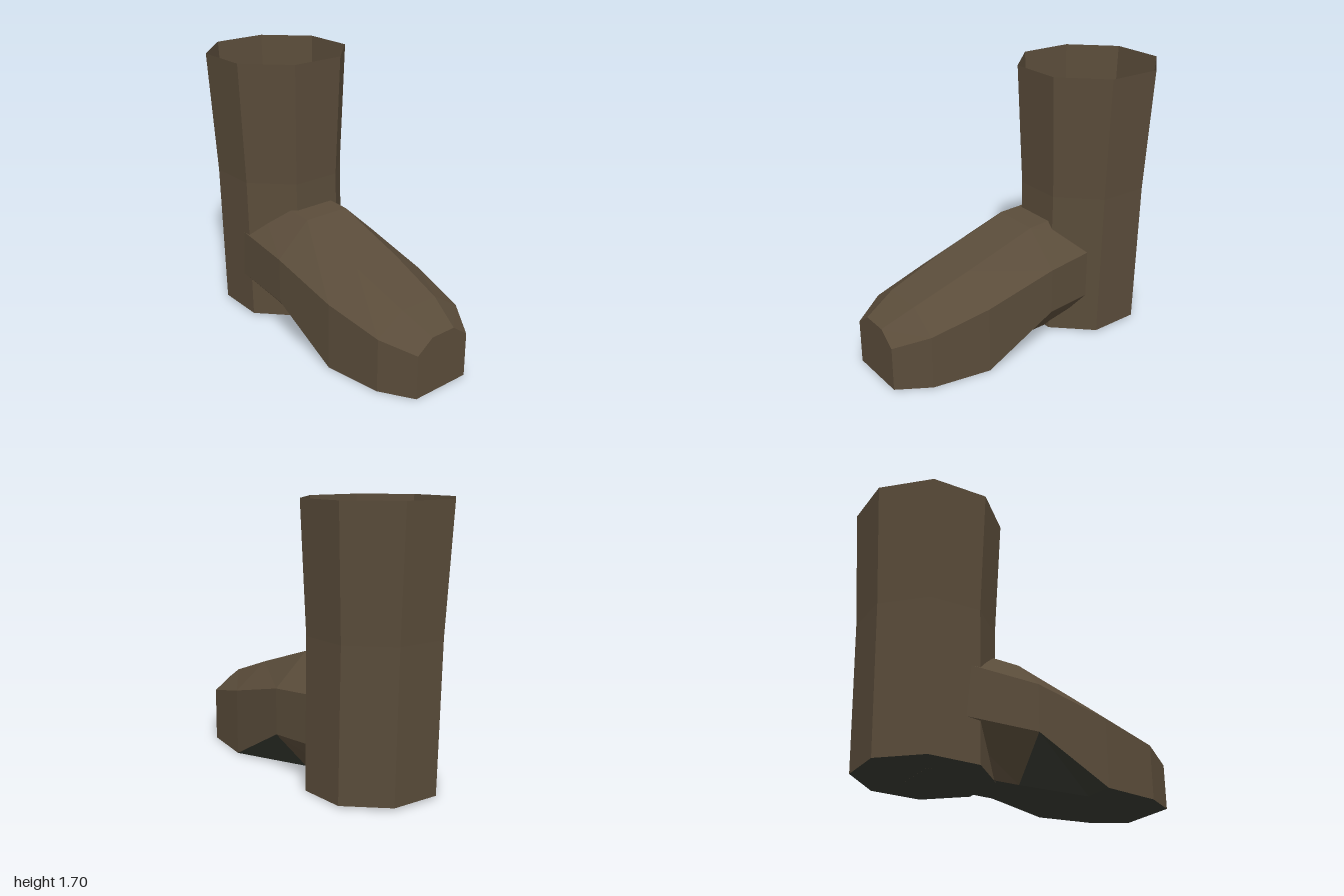
import * as THREE from 'three';

const leather = new THREE.MeshStandardMaterial({ color: 0x5a4c3a, flatShading: true, side: THREE.DoubleSide });
leather.name = 'brown leather';
const sole = new THREE.MeshStandardMaterial({ color: 0x363830, flatShading: true, side: THREE.DoubleSide });
sole.name = 'dark sole';

// Joins rings of points into a skin; isSole(ring, side) picks the colour of each panel.
function loft(rings, { startCap, endCap, isSole = () => false }) {
  const skins = [[], []];
  const tri = (m, ...pts) => pts.forEach((p) => skins[m].push(...p));
  const n = rings[0].length;
  for (let i = 0; i < rings.length - 1; i++) {
    for (let j = 0; j < n; j++) {
      const k = (j + 1) % n, m = isSole(i, j) ? 1 : 0;
      const a = rings[i][j], b = rings[i][k], c = rings[i + 1][k], d = rings[i + 1][j];
      tri(m, a, b, c);
      tri(m, a, c, d);
    }
  }
  const first = rings[0], last = rings[rings.length - 1];
  for (let j = 1; j < n - 1; j++) {
    if (startCap !== undefined) tri(startCap, first[0], first[j + 1], first[j]);
    if (endCap !== undefined) tri(endCap, last[0], last[j], last[j + 1]);
  }
  const geo = new THREE.BufferGeometry();
  geo.setAttribute('position', new THREE.Float32BufferAttribute([...skins[0], ...skins[1]], 3));
  geo.addGroup(0, skins[0].length / 3, 0);
  geo.addGroup(skins[0].length / 3, skins[1].length / 3, 1);
  geo.computeVertexNormals();
  return new THREE.Mesh(geo, [leather, sole]);
}

// Octagonal ring of the shaft: height, centre z, flat radius and tilt of the plane
function shaftRing([y, cz, r, tilt]) {
  const R = r / Math.cos(Math.PI / 8);
  return Array.from({ length: 8 }, (_, k) => {
    const a = Math.PI / 8 + (k * Math.PI) / 4;
    const dz = -R * Math.sin(a);
    return [R * Math.cos(a), y - tilt * dz, cz + dz];
  });
}

// Eight-sided slice of the foot, counter-clockwise from the lower right
function footRing([z, topX, topY, sideX, sideY, lowX, lowY, baseX, baseY]) {
  const half = [[baseX, baseY], [lowX, lowY], [sideX, sideY], [topX, topY]];
  const other = half.map(([x, y]) => [-x, y]).reverse();
  return [...half, ...other].map(([x, y]) => [x - 0.035, y, z]);
}

export function createModel() {
  const boot = new THREE.Group();
  boot.name = 'boot';

  // Open shaft, closed underneath by the heel sole
  const shaft = loft([
    [0.009, -0.548, 0.378, 0.022],
    [0.93, -0.57, 0.383, 0],
    [1.7, -0.58, 0.42, 0],
  ].map(shaftRing), { startCap: 1 });
  shaft.name = 'shaft';

  // Foot, from inside the shaft to the toe
  const foot = loft([
    [-0.61, 0.14, 0.78, 0.335, 0.585, 0.335, 0.27, 0.14, 0.01],
    [-0.04, 0.155, 0.745, 0.377, 0.54, 0.377, 0.25, 0.155, 0],
    [0.43, 0.152, 0.59, 0.37, 0.425, 0.37, 0, 0.17, 0],
    [0.8, 0.13, 0.46, 0.315, 0.34, 0.315, 0, 0.14, 0],
    [1, 0.085, 0.36, 0.195, 0.28, 0.195, 0, 0.09, 0],
  ].map(footRing), {
    startCap: 0,
    endCap: 0,
    // underside, plus the slanted panels of the arch
    isSole: (i, j) => j === 7 || (i > 0 && (j === 0 || j === 6)),
  });
  foot.name = 'foot';

  boot.add(shaft, foot);
  return boot;
}
